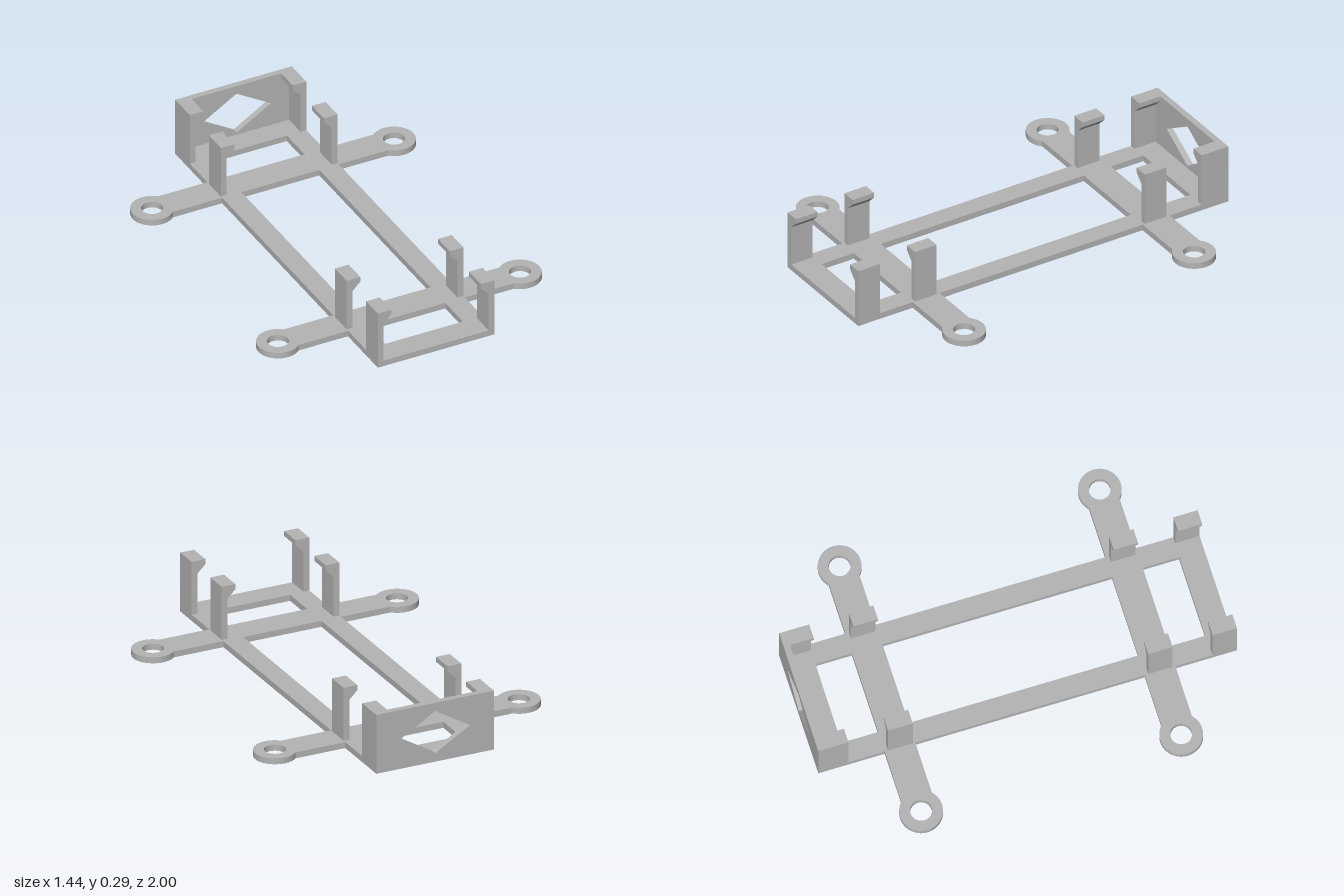
import * as THREE from 'three';
import { toCreasedNormals } from 'three/addons/utils/BufferGeometryUtils.js';

const T = 0.03;        // plate thickness
const W = 0.3;         // half width of the frame
const H = 0.295;       // overall height
const EAR_X = 0.622, EAR_R = 0.1, HOLE_R = 0.05, ARM = 0.073;
const ARM_Z = [0.633, -0.61];

const pts = (list) => list.map(([x, y]) => new THREE.Vector2(x, y));

function extrude(shape, depth) {
  const geometry = new THREE.ExtrudeGeometry(shape, { depth, bevelEnabled: false, curveSegments: 32 });
  return toCreasedNormals(geometry, 0.6);
}

// Flat frame outline with four mounting ears (shape y = -z)
function frameGeometry() {
  const shape = new THREE.Shape();
  const a = Math.asin(ARM / EAR_R);
  const levels = ARM_Z.map((z) => -z);
  shape.moveTo(-W, -1);
  shape.lineTo(W, -1);
  for (const c of levels) {
    shape.lineTo(W, c - ARM);
    shape.absarc(EAR_X, c, EAR_R, a - Math.PI, Math.PI - a, false);
    shape.lineTo(W, c + ARM);
  }
  shape.lineTo(W, 1);
  shape.lineTo(-W, 1);
  for (const c of [...levels].reverse()) {
    shape.lineTo(-W, c + ARM);
    shape.absarc(-EAR_X, c, EAR_R, a, 2 * Math.PI - a, false);
    shape.lineTo(-W, c - ARM);
  }
  shape.closePath();

  // Screw holes
  for (const c of levels) {
    for (const s of [-1, 1]) {
      shape.holes.push(new THREE.Path().absarc(s * EAR_X, c, HOLE_R, 0, Math.PI * 2, true));
    }
  }
  // Openings between the crossbars
  for (const [lo, hi] of [[-0.88, -0.706], [-0.56, 0.537], [0.683, 0.858]]) {
    shape.holes.push(new THREE.Path(pts([[-0.2, lo], [-0.2, hi], [0.2, hi], [0.2, lo]])));
  }
  return extrude(shape, T).rotateX(-Math.PI / 2);
}

// Upright post with an inward hook at the top
function clipGeometry(side, z0, z1) {
  const profile = [[W, T], [W, H], [0.23, H], [0.23, 0.27], [0.27, 0.23], [0.27, T]];
  const shape = new THREE.Shape(pts(profile.map(([x, y]) => [side * x, y])));
  return extrude(shape, z1 - z0).translate(0, 0, z0);
}

// End wall with a diamond window
function endWallGeometry() {
  const shape = new THREE.Shape(pts([[-W, T], [W, T], [W, H], [-W, H]]));
  shape.holes.push(new THREE.Path(pts([[-0.177, 0.148], [0, 0.254], [0.177, 0.148], [0, 0.042]])));
  return extrude(shape, T).translate(0, 0, -1);
}

export function createModel() {
  const model = new THREE.Group();
  model.name = 'batteryTray';
  const grey = new THREE.MeshStandardMaterial({ color: 0xb4b4b4 });
  grey.name = 'plainGrey';

  const add = (name, geometry) => {
    const mesh = new THREE.Mesh(geometry, grey);
    mesh.name = name;
    model.add(mesh);
  };

  add('baseFrame', frameGeometry());
  add('endWall', endWallGeometry());

  // Mirrored pairs of retaining clips along the frame
  const clips = [
    ['frontClip', 0.884, 1],
    ['frontArmClip', 0.577, 0.693],
    ['backArmClip', -0.667, -0.549],
    ['backClip', -0.97, -0.856],
  ];
  for (const [name, z0, z1] of clips) {
    add(name + 'Left', clipGeometry(1, z0, z1));
    add(name + 'Right', clipGeometry(-1, z0, z1));
  }
  return model;
}
